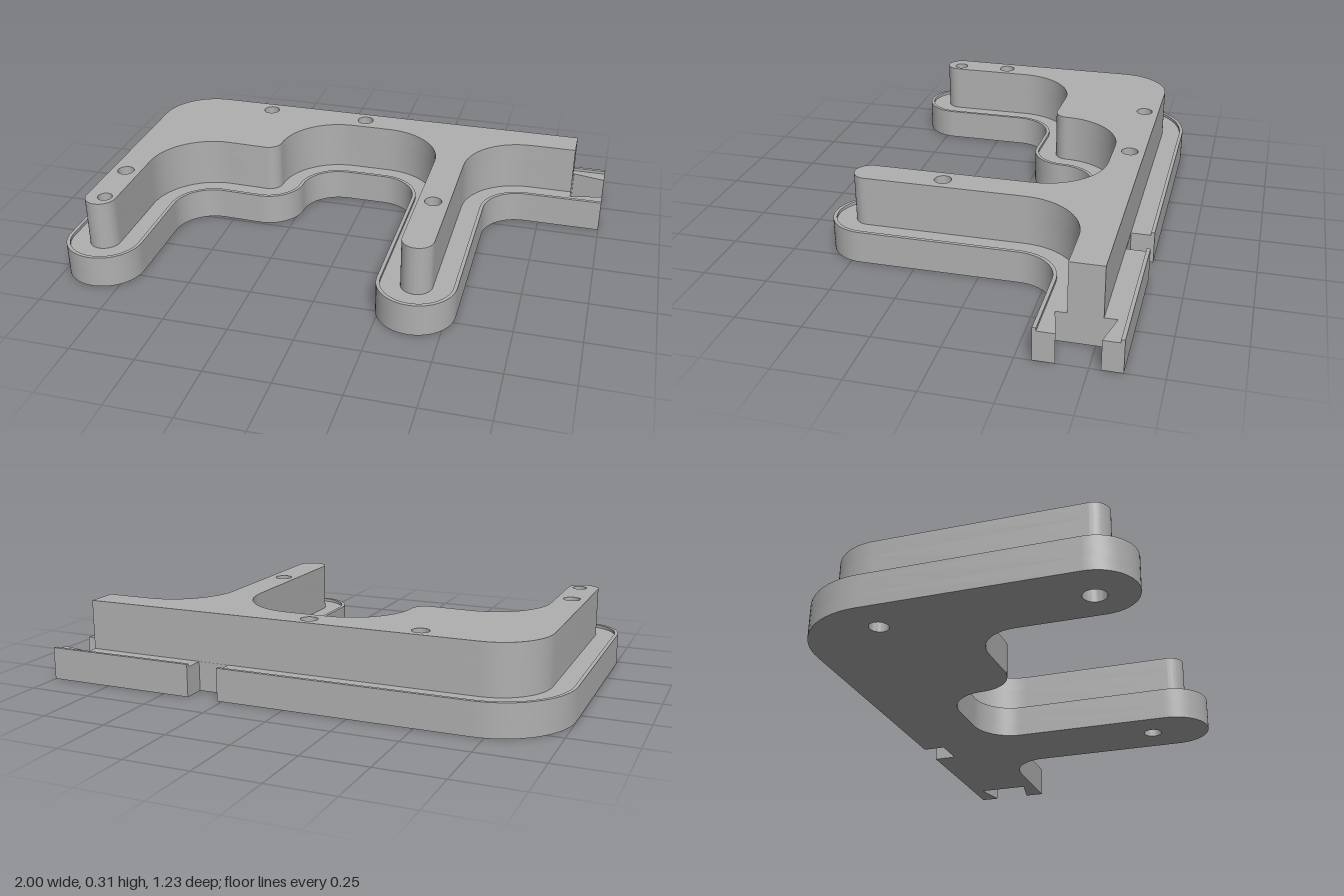
import * as THREE from 'three';
import { toCreasedNormals } from 'three/addons/utils/BufferGeometryUtils.js';

const BACK = 0.614, LEDGE = 0.115, RIM = 0.127, TOP = 0.31, INSET = 0.09;
const NOTCH = [0.27, 0.395], END = 0.87;

// Plan points as (x, -z), from the back edge round the right side and legs to the left end.
function outline(d, startX, endX) {
  const pts = [new THREE.Vector2(startX, BACK - d)];
  const arc = (cx, cy, r, a0, a1) => {
    const n = Math.ceil(Math.abs(a1 - a0) / 6);
    for (let i = 0; i <= n; i++) {
      const a = THREE.MathUtils.degToRad(a0 + (a1 - a0) * i / n);
      pts.push(new THREE.Vector2(cx + r * Math.cos(a), cy + r * Math.sin(a)));
    }
  };
  arc(-0.70, 0.314, 0.30 - d, 90, 180);     // back corner
  arc(-0.85, -0.464, 0.15 - d, 180, 360);   // right leg tip
  arc(-0.545, -0.14, 0.155 + d, 180, 90);
  arc(-0.38, 0.155, 0.145 - d, 270, 360);   // shoulder
  arc(-0.08, 0.155, 0.155 + d, 180, 90);
  arc(0.08, 0.155, 0.155 + d, 90, 0);
  arc(0.385, -0.464, 0.15 - d, 180, 360);   // left leg tip
  arc(0.69, 0.155, 0.155 + d, 180, 90);
  pts.push(new THREE.Vector2(endX, 0.31 + d));
  return pts;
}

const points = (list) => list.map(([x, y]) => new THREE.Vector2(x, y));

export function createModel() {
  const group = new THREE.Group();
  const grey = new THREE.MeshStandardMaterial({ color: 0xb0b0b0 });
  grey.name = 'plain grey';

  // Extrudes a plan upwards from y0 to y1, with round holes [x, z, radius].
  const slab = (name, pts, y0, y1, holes = []) => {
    const shape = new THREE.Shape(pts);
    for (const [x, z, r] of holes) {
      shape.holes.push(new THREE.Path().absarc(x, -z, r, 0, Math.PI * 2, true));
    }
    const geo = new THREE.ExtrudeGeometry(shape, { depth: y1 - y0, bevelEnabled: false, curveSegments: 16 });
    geo.rotateX(-Math.PI / 2);
    geo.translate(0, y0, 0);
    const mesh = new THREE.Mesh(toCreasedNormals(geo, 0.6), grey);
    mesh.name = name;
    group.add(mesh);
  };

  // Base plan: outline, dovetail socket in the left end, notch in the back edge
  const basePlan = [
    ...outline(0, NOTCH[0], 1),
    ...points([
      [1, 0.388], [END, 0.36], [END, 0.57], [1, 0.54],
      [1, BACK], [NOTCH[1], BACK], [NOTCH[1], 0.525], [NOTCH[0], 0.525],
    ]),
  ];
  const through = [-0.835, 0.46, 0.028];
  const bottomHoles = [[-0.835, 0.46, 0.042], [0.385, 0.38, 0.036], [-0.85, -0.3, 0.036]];
  slab('baseBottom', basePlan, 0, 0.05, bottomHoles);
  slab('baseTop', basePlan, 0.05, LEDGE, [through]);

  // Thin raised lip round the base, broken by the notch and open at the left end
  const lip = 0.014;
  slab('lip', [...outline(0, NOTCH[0], 1), ...outline(lip, NOTCH[0], 1).reverse()], LEDGE, RIM);
  slab('backLip', points([
    [NOTCH[1], BACK - lip], [1, BACK - lip], [1, BACK], [NOTCH[1], BACK],
  ]), LEDGE, RIM);

  // Upper wall with shallow peg holes in its top
  const wallPlan = [...outline(INSET, END, END)];
  const pegHoles = [[-0.47, -0.465], [-0.04, -0.465], [-0.85, 0.24], [0.383, 0.175]]
    .map(([x, z]) => [x, z, 0.033]);
  slab('wallBody', wallPlan, LEDGE, 0.25, [through]);
  slab('wallTop', wallPlan, 0.25, TOP, [through, ...pegHoles]);

  return group;
}
